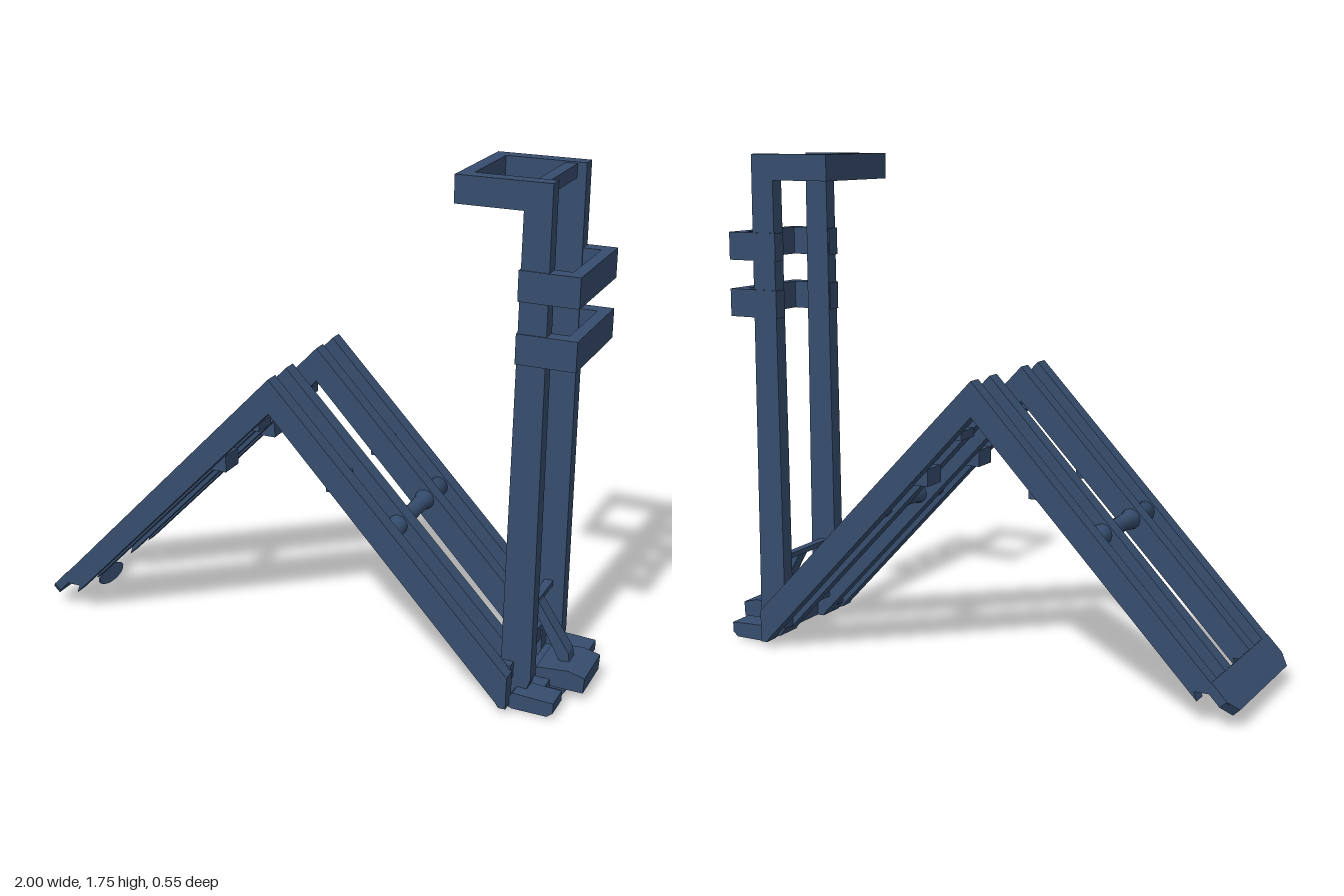
import * as THREE from 'three';

const steel = new THREE.MeshStandardMaterial({ color: 0x364d6e });
steel.name = 'navySteel';

export function createModel() {
  const model = new THREE.Group();
  model.name = 'foldingRampWithMast';

  const add = (name, geometry) => {
    const mesh = new THREE.Mesh(geometry, steel);
    mesh.name = name;
    model.add(mesh);
    return mesh;
  };
  // box given by its limits
  const box = (name, x0, x1, y0, y1, z0, z1) => {
    const mesh = add(name, new THREE.BoxGeometry(x1 - x0, y1 - y0, z1 - z0));
    mesh.position.set((x0 + x1) / 2, (y0 + y1) / 2, (z0 + z1) / 2);
    return mesh;
  };
  // side profile extruded from z0 to z1
  const slab = (name, points, z0, z1) => {
    const shape = new THREE.Shape(points.map(([x, y]) => new THREE.Vector2(x, y)));
    const geometry = new THREE.ExtrudeGeometry(shape, { depth: z1 - z0, bevelEnabled: false });
    return add(name, geometry.translate(0, 0, z0));
  };
  // slab on both sides, given by its limits on the left
  const pair = (name, points, z0, z1) => {
    slab(name + 'Left', points, z0, z1);
    slab(name + 'Right', points, -z1, -z0);
  };

  // bent ramp rails
  const rail = [[-0.975, 0.085], [-0.95, 0.11], [-0.86, 0.11], [-0.87, 0.08], [-0.07, 0.91],
    [0.755, 0.035], [0.765, 0.02], [0.79, 0.02], [0.79, 0.135], [-0.07, 1.03]];
  pair('outerRail', rail, 0.22, 0.273);
  pair('innerRail', rail, 0.09, 0.143);

  // end plate with clipped corners, lying along the slope
  const plate = new THREE.Shape([[0, -0.235], [0.045, -0.273], [0.12, -0.273], [0.12, 0.273],
    [0.045, 0.273], [0, 0.235]].map(([x, y]) => new THREE.Vector2(x, y)));
  const plateGeometry = new THREE.ExtrudeGeometry(plate, { depth: 0.032, bevelEnabled: false });
  plateGeometry.rotateX(Math.PI / 2).rotateZ(0.807).translate(-1, 0.062, 0);
  add('rampEndPlate', plateGeometry);
  // small hanging tongue below the end plate
  const tongue = add('endTongue', new THREE.CylinderGeometry(0.08, 0.08, 0.008, 16));
  tongue.scale.set(0.38, 1, 1);
  tongue.rotation.z = Math.PI / 2 + 0.2;
  tongue.position.set(-0.903, 0.031, 0);

  // flared rungs across the ramp
  const flare = [[0, -0.225], [0.035, -0.225], [0.035, -0.14], [0.036, -0.09], [0.029, -0.06],
    [0.027, 0], [0.029, 0.06], [0.036, 0.09], [0.035, 0.14], [0.035, 0.225], [0, 0.225]]
    .map(([r, h]) => new THREE.Vector2(r, h));
  for (const side of [-1, 1]) {
    const rung = add('crossRung', new THREE.LatheGeometry(flare, 12));
    rung.rotation.x = Math.PI / 2;
    rung.position.set(-0.07 + side * 0.415, 0.54, 0);

    // short spacers between inner and outer rails
    for (const [offset, y, size] of [[0.22, 0.68, 0.06], [0.075, 0.835, 0.03]]) {
      for (const z of [-1, 1]) {
        const spacer = add('railSpacer', new THREE.BoxGeometry(size, size, 0.09));
        spacer.position.set(-0.07 + side * offset, y, z * 0.182);
      }
    }
  }
  box('lowerCrossBar', 0.735, 0.785, 0.1, 0.155, -0.225, 0.225);

  // mast posts with the forward top frame
  pair('mastPost', [[0.765, 0.02], [0.82, 0.02], [0.845, 0.1], [0.84, 1.75], [0.53, 1.75],
    [0.53, 1.66], [0.752, 1.66], [0.742, 0.3], [0.742, 0.05]], 0.14, 0.192);
  box('topFrameFrontBar', 0.53, 0.575, 1.66, 1.75, -0.141, 0.141);
  box('topFrameRearBar', 0.77, 0.81, 1.7, 1.745, -0.141, 0.141);
  box('mastLowerBar', 0.775, 0.805, 0.287, 0.305, -0.141, 0.141);

  // U-shaped brackets behind the mast
  for (const y of [1.18, 1.38]) {
    for (const s of [-1, 1]) {
      const arm = box('bracketArm', 0.745, 0.94, y, y + 0.098, 0.145, 0.196);
      arm.position.z *= s;
    }
    box('bracketBack', 0.9, 0.94, y, y + 0.098, -0.146, 0.146);
  }

  // base feet, centre pad and its slanted strut
  const foot = [[0.77, 0.02], [0.8, 0.008], [0.92, 0.008], [0.94, 0.025], [0.94, 0.06], [0.8, 0.066]];
  pair('baseFoot', foot, 0.145, 0.238);
  box('baseCrossPlate', 0.79, 0.88, 0.02, 0.06, -0.15, 0.15);
  slab('centrePad', [[0.83, 0.035], [0.995, 0.035], [0.998, 0.09], [0.94, 0.105], [0.83, 0.095]], -0.09, 0.09);
  slab('centrePadBase', [[0.84, 0.02], [0.87, 0.005], [0.92, 0.005], [0.94, 0.036], [0.84, 0.036]], -0.1, 0.1);
  slab('centreStrut', [[0.78, 0.3], [0.89, 0.1], [0.925, 0.1], [0.92, 0.135], [0.81, 0.3]], -0.027, 0.027);

  return model;
}
